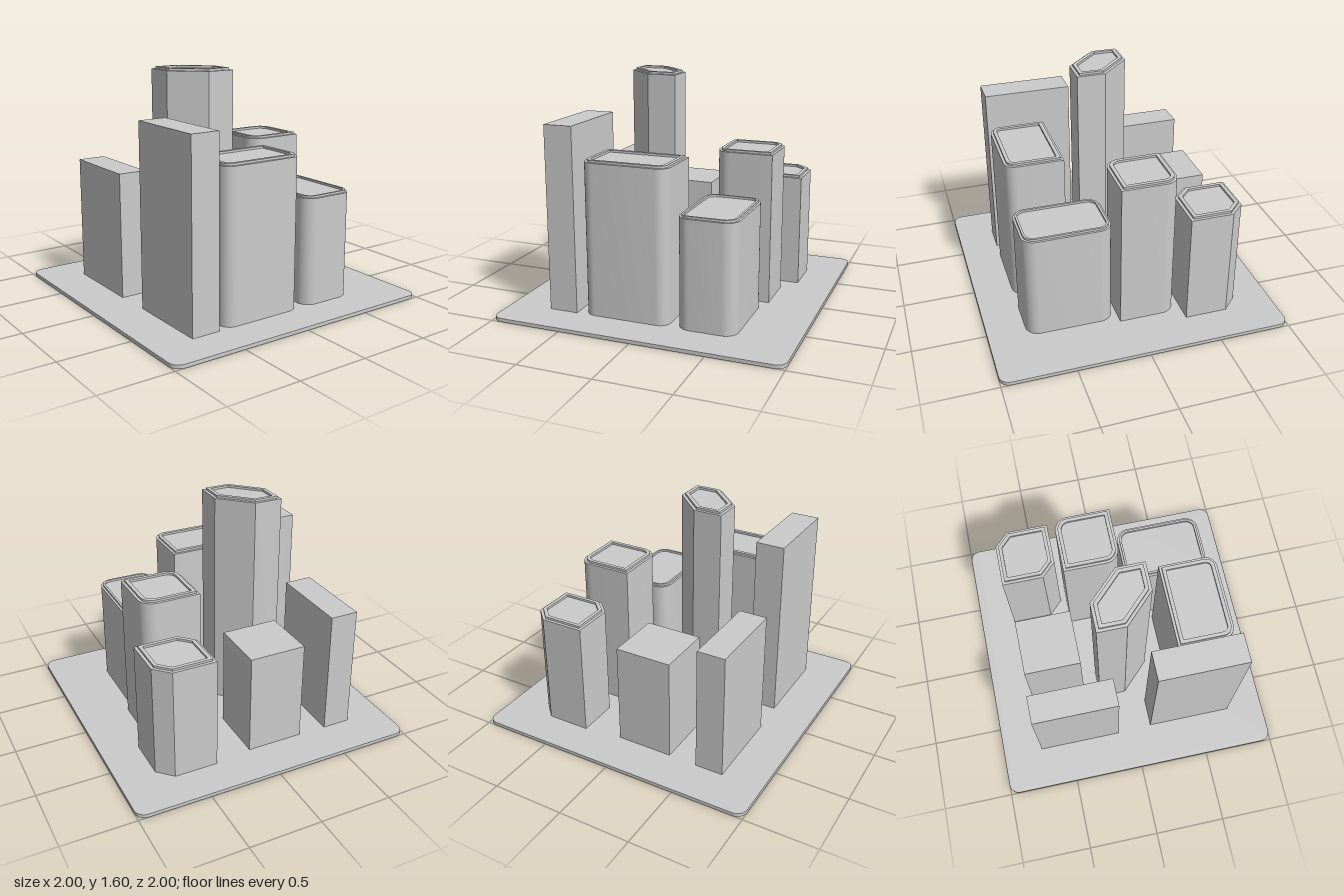
import * as THREE from 'three';
import { toCreasedNormals } from 'three/addons/utils/BufferGeometryUtils.js';

const material = new THREE.MeshStandardMaterial({ color: 0xcccccc });
const PLATE = 0.025;

// Corner styles
const sharp = { size: 0, steps: 0 };
const chamfer = (size) => ({ size, steps: 1 });
const round = (size) => ({ size, steps: 10 });

// Footprint of a block, shrunk by inset. Corners run front left, front right,
// back right, back left as seen from above.
function outline({ x, z, corners }, inset = 0) {
  const [x0, x1] = [x[0] + inset, x[1] - inset];
  const [y0, y1] = [-z[1] + inset, -z[0] - inset];
  const spots = [[x0, y0, 1, 1], [x1, y0, -1, 1], [x1, y1, -1, -1], [x0, y1, 1, -1]];
  const points = [];
  spots.forEach(([px, py, sx, sy], i) => {
    const { size, steps } = corners[i];
    if (!steps) return points.push(new THREE.Vector2(px, py));
    const r = Math.max(size - inset * (steps === 1 ? 2 - Math.SQRT2 : 1), 0.005);
    for (let k = 0; k <= steps; k++) {
      const a = Math.PI * (1 + i / 2 + k / steps / 2);
      points.push(new THREE.Vector2(px + sx * r + r * Math.cos(a), py + sy * r + r * Math.sin(a)));
    }
  });
  return points;
}

// Upright prism between two heights, smooth around rounded corners
function prism(name, shape, bottom, top) {
  const extruded = new THREE.ExtrudeGeometry(shape, { depth: top - bottom, bevelEnabled: false });
  extruded.rotateX(-Math.PI / 2).translate(0, bottom, 0);
  const mesh = new THREE.Mesh(toCreasedNormals(extruded, Math.PI / 7), material);
  mesh.name = name;
  return mesh;
}

// Tower with a raised parapet ring around a recessed roof
function tower(spec) {
  const group = new THREE.Group();
  group.name = spec.name;
  group.add(prism('towerBody', new THREE.Shape(outline(spec)), 0.005, spec.top));
  const ring = new THREE.Shape(outline(spec, spec.ring[0]));
  ring.holes.push(new THREE.Path(outline(spec, spec.ring[1]).reverse()));
  group.add(prism('parapet', ring, spec.top, spec.top + 0.015));
  return group;
}

// Plain rectangular building
function slab(name, x, z, top) {
  const mesh = new THREE.Mesh(new THREE.BoxGeometry(x[1] - x[0], top - 0.005, z[1] - z[0]), material);
  mesh.position.set((x[0] + x[1]) / 2, (top + 0.005) / 2, (z[0] + z[1]) / 2);
  mesh.name = name;
  return mesh;
}

export function createModel() {
  const model = new THREE.Group();
  model.name = 'cityBlock';

  // Ground plate
  const plate = { x: [-1, 1], z: [-1, 1], corners: Array(4).fill(round(0.07)) };
  model.add(prism('groundPlate', new THREE.Shape(outline(plate)), 0, PLATE));

  // Rectangular buildings
  model.add(slab('tallSlab', [-0.705, -0.505], [0.13, 0.735], 1.295));
  model.add(slab('backSlab', [-0.715, -0.52], [-0.715, -0.12], 0.9));
  model.add(slab('lowBlock', [-0.32, 0.075], [-0.71, -0.31], 0.735));

  // Towers with parapets
  const c = chamfer(0.1), r = round(0.1), hex = chamfer(0.2);
  const g = round(0.08), h = round(0.09);
  [
    { name: 'hexagonTower', x: [-0.405, -0.01], z: [-0.2, 0.195], corners: [hex, sharp, hex, sharp], top: 1.58, ring: [0.02, 0.045] },
    { name: 'chamferedTower', x: [0.337, 0.74], z: [-0.745, -0.35], corners: [c, sharp, c, sharp], top: 0.815, ring: [0.02, 0.045] },
    { name: 'leafTower', x: [0.245, 0.645], z: [-0.305, 0.097], corners: [r, sharp, r, sharp], top: 1.065, ring: [0.018, 0.043] },
    { name: 'wideTower', x: [-0.45, 0.147], z: [0.338, 0.735], corners: [g, g, sharp, sharp], top: 1.065, ring: [0.018, 0.043] },
    { name: 'roundedTower', x: [0.205, 0.605], z: [0.132, 0.735], corners: [h, h, h, h], top: 0.765, ring: [0.015, 0.03] },
  ].forEach((spec) => model.add(tower(spec)));

  return model;
}
